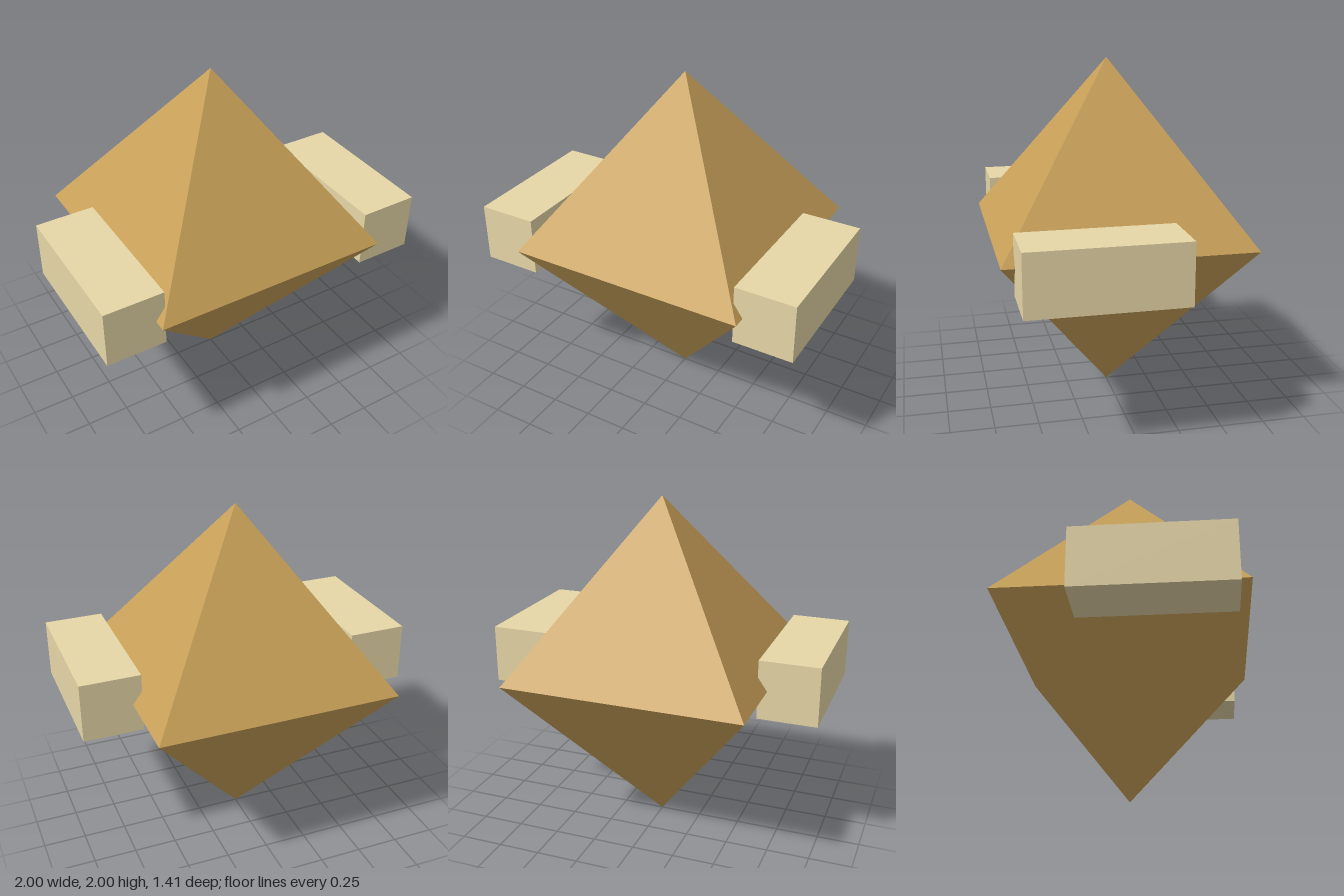
import * as THREE from 'three';

export function createModel() {
  const group = new THREE.Group();
  const gold = new THREE.MeshStandardMaterial({ color: 0xc8a058 });
  gold.name = 'gold';
  gold.flatShading = true;
  const cream = new THREE.MeshStandardMaterial({ color: 0xe8d8a8 });
  cream.name = 'cream';

  // Eight-sided body, turned so its flat sides face front and sideways
  const body = new THREE.Mesh(new THREE.OctahedronGeometry(1).rotateY(Math.PI / 4), gold);
  body.name = 'body';
  body.position.y = 1;
  group.add(body);

  // Matching side blocks, set forward of centre
  const blockGeometry = new THREE.BoxGeometry(0.348, 0.348, 0.872);
  for (const [name, side] of [['leftBlock', 1], ['rightBlock', -1]]) {
    const block = new THREE.Mesh(blockGeometry, cream);
    block.name = name;
    block.position.set(side * 0.826, 1.004, 0.197);
    group.add(block);
  }
  return group;
}
